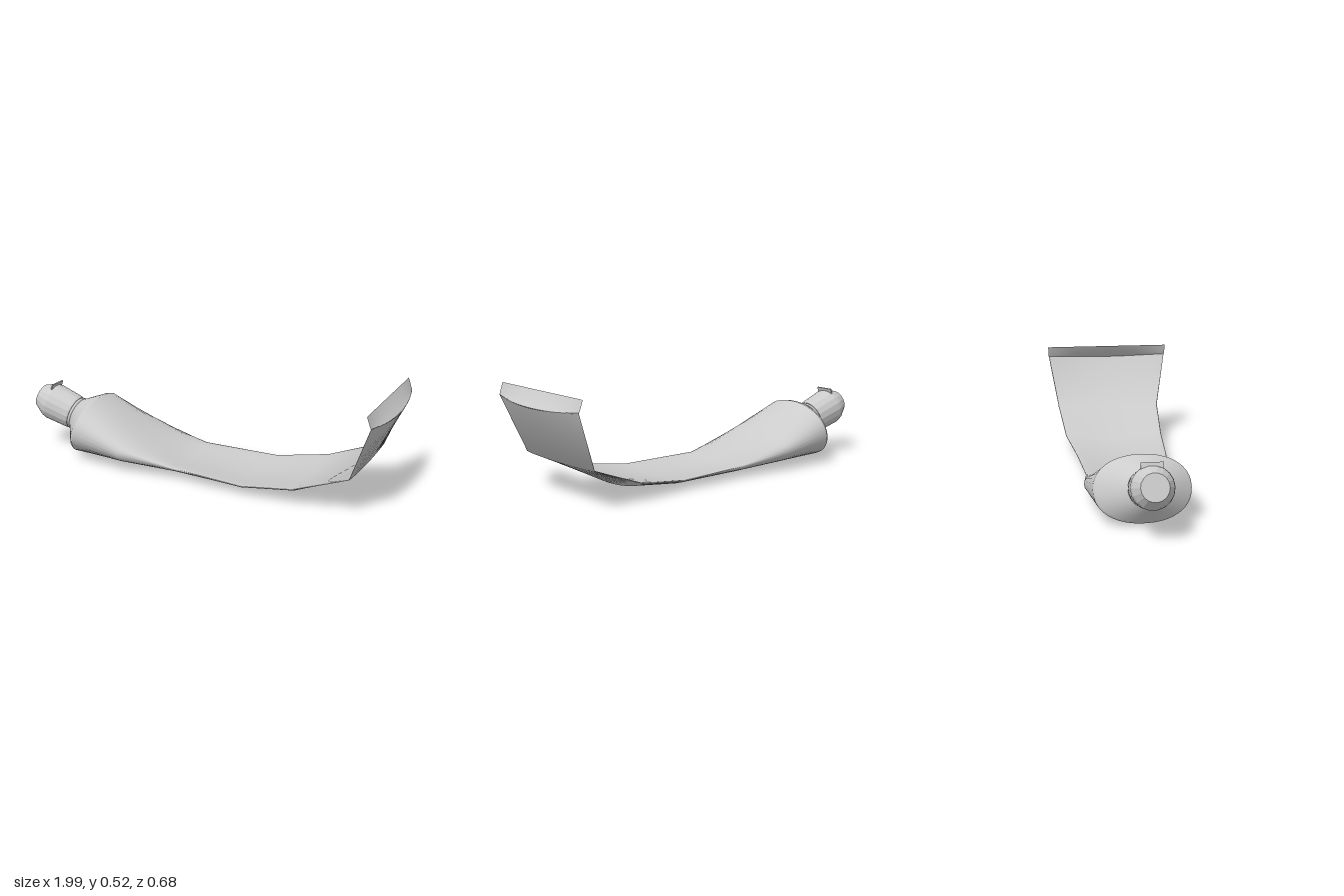
import * as THREE from 'three';

const grey = new THREE.MeshStandardMaterial({ color: 0xcccccc, side: THREE.DoubleSide });
const faceted = new THREE.MeshStandardMaterial({ color: 0xcccccc, flatShading: true });

// Skin rows of points into a smooth surface
function skin(rows, closed) {
  const n = rows[0].length, index = [];
  for (let i = 0; i < rows.length - 1; i++) {
    for (let j = 0; j < (closed ? n : n - 1); j++) {
      const k = (j + 1) % n;
      const a = i * n + j, b = a + n, c = i * n + k, d = c + n;
      index.push(a, b, c, b, d, c);
    }
  }
  const g = new THREE.BufferGeometry();
  g.setAttribute('position', new THREE.Float32BufferAttribute(rows.flat(2), 3));
  g.setIndex(index);
  g.computeVertexNormals();
  return g;
}

// Rounded cross-section, tilted in the xy plane, its side edges lifted by sag
function section([x, y, tilt, h, w, zc, sag, power], count = 40) {
  const t = THREE.MathUtils.degToRad(tilt), row = [];
  const soft = v => Math.sign(v) * Math.pow(Math.abs(v), 2 / power);
  for (let j = 0; j < count; j++) {
    const a = j / count * Math.PI * 2;
    const u = soft(Math.cos(a));
    const v = h * soft(Math.sin(a)) + sag * u * u;
    row.push([x + Math.sin(t) * v, y + Math.cos(t) * v, zc + w * u]);
  }
  return row;
}

export function createModel() {
  const model = new THREE.Group();
  const add = (parent, name, geometry, material = grey) => {
    const mesh = new THREE.Mesh(geometry, material);
    mesh.name = name;
    parent.add(mesh);
    return mesh;
  };

  // Squeezed body: x, y, tilt, half height, half width, z centre, sag, roundness
  const stations = [
    [-0.66, 0.168, 18, 0.156, 0.225, -0.01, 0, 2.2],
    [-0.385, 0.1, 8, 0.08, 0.248, -0.003, 0.01, 2.2],
    [-0.1, 0.028, 3, 0.023, 0.212, -0.005, 0.038, 2.2],
    [0.3, 0.023, -3, 0.014, 0.24, 0.01, 0.03, 2.2],
    [0.575, 0.059, -16, 0.014, 0.267, -0.002, 0.03, 2.2],
    [0.85, 0.186, -40, 0.005, 0.287, -0.004, 0.004, 2],
    [0.992, 0.45, -63, 0.002, 0.338, 0, 0.04, 2],
  ];
  add(model, 'body', skin(stations.map(s => section(s)), true));

  // Shoulder narrowing to the neck
  add(model, 'shoulder', skin([
    section([-0.765, 0.203, 18, 0.08, 0.08, 0, 0, 2]),
    section([-0.745, 0.196, 18, 0.095, 0.1, 0, 0, 2]),
    section([-0.675, 0.173, 18, 0.15, 0.215, -0.01, 0, 2.2]),
    section(stations[0]),
  ], true));

  // Folded end flap, bowed at the crease and straight along its free edge
  const crease = [], middle = [], edge = [];
  for (let j = 0; j <= 16; j++) {
    const u = j / 8 - 1, bow = 1 - u * u;
    crease.push([0.956 + 0.037 * bow, 0.464 - 0.014 * bow, u * 0.338]);
    middle.push([0.95 + 0.013 * bow, 0.48, u * 0.34]);
    edge.push([0.936, 0.523, u * 0.341]);
  }
  add(model, 'endFlap', skin([crease, middle, edge], false));

  // Cap and neck share one tilted axis
  const top = new THREE.Group();
  top.name = 'capAssembly';
  top.position.set(-0.765, 0.203, 0);
  top.rotation.z = 1.249;
  model.add(top);
  const lathe = (points, sides) =>
    new THREE.LatheGeometry(points.map(p => new THREE.Vector2(...p)), sides);
  add(top, 'neckRing', lathe([[0, -0.02], [0.085, -0.02], [0.09, 0], [0.082, 0.012], [0, 0.012]], 32));
  add(top, 'cap', lathe([
    [0, 0.008], [0.088, 0.008], [0.091, 0.018], [0.098, 0.15],
    [0.093, 0.172], [0.063, 0.227], [0, 0.227],
  ], 18), faceted);

  // Thin lip on the upper side of the cap
  const lip = add(top, 'capLip', new THREE.BoxGeometry(0.04, 0.007, 0.1), faceted);
  lip.position.set(0.09, 0.16, 0);

  return model;
}
